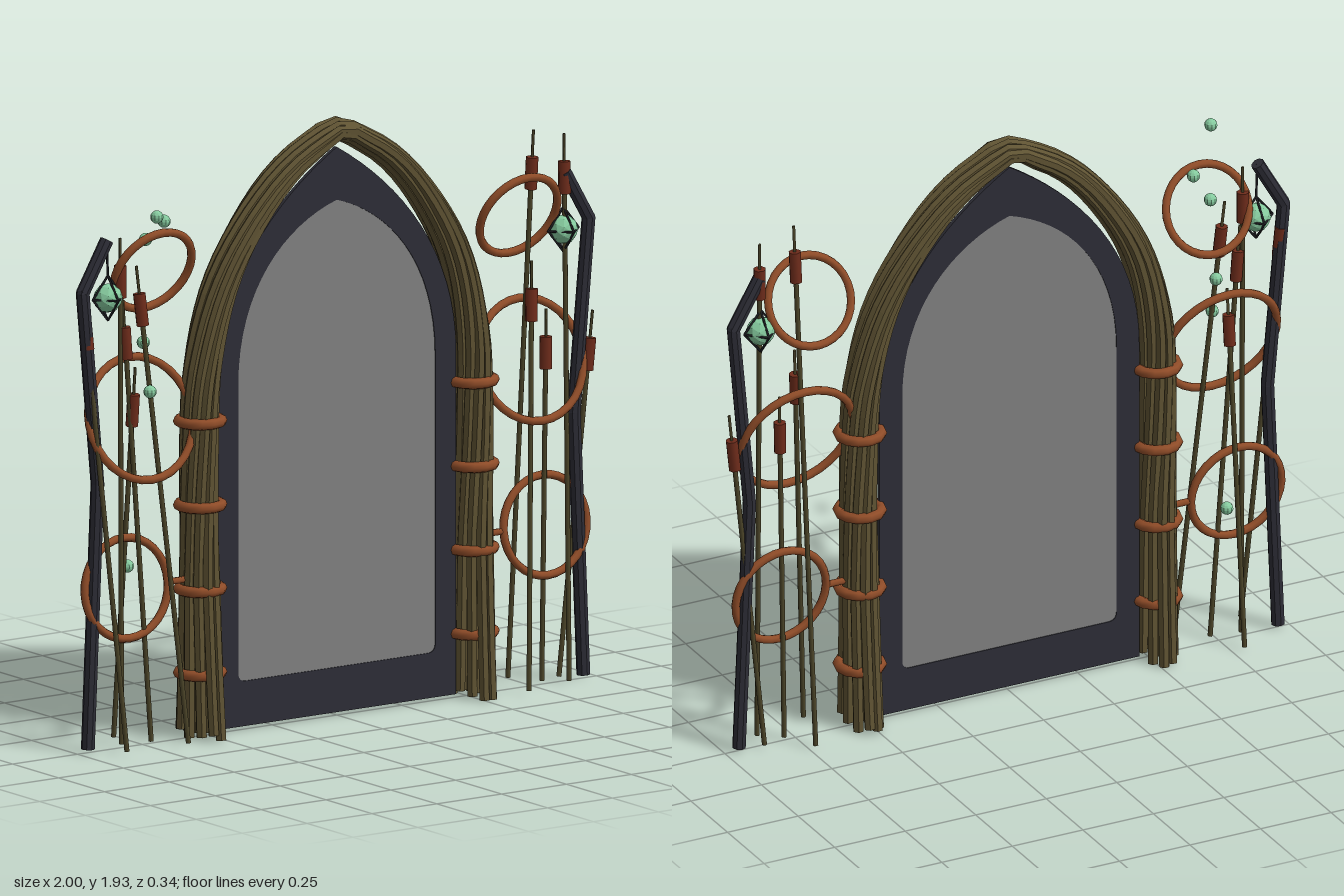
import * as THREE from 'three';

const mat = (name, color, extra = {}) => {
  const m = new THREE.MeshStandardMaterial({ color, ...extra });
  m.name = name;
  return m;
};
const V = (x, y, z = 0) => new THREE.Vector3(x, y, z);

export function createModel() {
  const vine = mat('vineBark', 0x5e5232, { flatShading: true });
  const iron = mat('darkIron', 0x2d2d36, { flatShading: true });
  const glass = mat('greyGlass', 0x808080);
  const copper = mat('copper', 0x8f4c28);
  const rust = mat('reedHead', 0x6e2c1b);
  const stemMat = mat('reedStem', 0x4c4529);
  const glow = mat('paleGreen', 0x86cb9f, { flatShading: true });
  const wire = mat('blackWire', 0x1b1c20);

  const root = new THREE.Group();
  root.name = 'archedGate';
  const body = new THREE.Group();
  body.name = 'gateBody';
  body.position.x = -0.005;
  root.add(body);

  const add = (name, geo, material, parent = body) => {
    const m = new THREE.Mesh(geo, material);
    m.name = name;
    parent.add(m);
    return m;
  };
  // Straight rod between two points
  const rod = (name, a, b, r, material, parent = body, sides = 6) => {
    const d = b.clone().sub(a);
    const m = add(name, new THREE.CylinderGeometry(r, r, d.length(), sides), material, parent);
    m.position.copy(a).add(b).multiplyScalar(0.5);
    m.quaternion.setFromUnitVectors(V(0, 1), d.normalize());
    return m;
  };

  // Pointed door frame and its pane
  const outer = new THREE.Shape();
  outer.moveTo(-0.46, 0.02);
  outer.lineTo(0.46, 0.02);
  outer.lineTo(0.46, 1.12);
  outer.bezierCurveTo(0.46, 1.45, 0.25, 1.69, 0, 1.84);
  outer.bezierCurveTo(-0.25, 1.69, -0.46, 1.45, -0.46, 1.12);
  const opening = (P) => {
    const p = new P();
    p.moveTo(-0.35, 0.165);
    p.lineTo(0.35, 0.165);
    p.quadraticCurveTo(0.38, 0.165, 0.38, 0.195);
    p.lineTo(0.38, 1.12);
    p.bezierCurveTo(0.38, 1.43, 0.2, 1.61, 0, 1.67);
    p.bezierCurveTo(-0.2, 1.61, -0.38, 1.43, -0.38, 1.12);
    p.lineTo(-0.38, 0.195);
    p.quadraticCurveTo(-0.38, 0.165, -0.35, 0.165);
    return p;
  };
  outer.holes.push(opening(THREE.Path));
  const slab = (shape, depth) =>
    new THREE.ExtrudeGeometry(shape, { depth, bevelEnabled: false, curveSegments: 16 }).translate(0, 0, -depth / 2);
  add('doorFrame', slab(outer, 0.014), iron);
  add('doorPane', slab(opening(THREE.Shape), 0.008), glass);

  // Twisted vines running over the whole arch
  const half = new THREE.CatmullRomCurve3([
    V(0, 1.9), V(0.15, 1.825), V(0.28, 1.71), V(0.44, 1.47), V(0.515, 1.2),
    V(0.53, 0.9), V(0.527, 0.5), V(0.522, 0.01),
  ]);
  const lerp = THREE.MathUtils.lerp;
  const strand = (a0, spread, foot) => {
    const pts = [];
    const n = 22;
    for (let i = -n; i <= n; i++) {
      const u = Math.abs(i) / n;
      const side = i < 0 ? -1 : 1;
      const p = half.getPointAt(u);
      const t = half.getTangentAt(u);
      const a = a0 + 2.4 * side * Math.min(u, 0.65 + 0.15 * u);
      const ra = spread * lerp(0.02, 0.043, Math.min(1, u * 2.2));
      const rb = spread * (0.052 + 0.045 * Math.max(0, (u - 0.65) / 0.35) ** 1.3);
      const x = p.x - t.y * Math.cos(a) * ra;
      const y = p.y + t.x * Math.cos(a) * ra;
      pts.push(V(side * x, y + (u === 1 ? foot : 0), Math.sin(a) * rb + 0.004));
    }
    return new THREE.TubeGeometry(new THREE.CatmullRomCurve3(pts), 72, 0.018, 6);
  };
  const vines = new THREE.Group();
  vines.name = 'vineArch';
  body.add(vines);
  for (let i = 0; i < 10; i++) add('vine', strand((i / 10) * Math.PI * 2, 1, (i % 3) * 0.009), vine, vines);
  for (let i = 0; i < 3; i++) add('innerVine', strand((i / 3) * Math.PI * 2, 0.4, 0.015), vine, vines);

  // Mirrored posts, lanterns, rings and bands
  for (const s of [-1, 1]) {
    const g = new THREE.Group();
    g.name = s < 0 ? 'rightSide' : 'leftSide';
    body.add(g);

    for (const y of [0.215, 0.485, 0.755, 1.025]) {
      const band = add('band', new THREE.TorusGeometry(0.068, 0.018, 8, 12), copper, g);
      band.rotation.x = Math.PI / 2;
      band.position.set(s * 0.525, y, 0.004);
    }

    // x, y, radius, tilt
    for (const [x, y, r, tilt] of [
      [0.705, 1.53, 0.144, 0.42], [0.752, 1.06, 0.197, -0.32], [0.807, 0.52, 0.16, -0.1],
    ]) {
      const ring = add('ring', new THREE.TorusGeometry(r, 0.0135, 8, 32), copper, g);
      ring.position.set(s * x, y, 0);
      ring.rotation.x = tilt;
    }
    rod('ringTie', V(s * 0.57, 0.52), V(s * 0.65, 0.52), 0.011, copper, g);

    const post = [V(s * 0.955, 0.02), V(s * 0.918, 0.87), V(s * 0.975, 1.49), V(s * 0.882, 1.65)];
    for (let i = 0; i < 3; i++) {
      rod('post', post[i], post[i + 1], 0.022, iron, g, 8);
      if (i) add('postJoint', new THREE.SphereGeometry(0.022, 8, 6), iron, g).position.copy(post[i]);
    }

    const lantern = new THREE.Group();
    lantern.name = 'lantern';
    lantern.position.set(s * 0.878, 1.463, 0);
    g.add(lantern);
    add('lanternGem', new THREE.IcosahedronGeometry(0.047, 1), glow, lantern);
    const corners = [0, 1, 2, 3].map((k) => V(Math.cos(k * Math.PI / 2) * 0.058, 0, Math.sin(k * Math.PI / 2) * 0.058));
    corners.forEach((c, k) => {
      rod('cageBar', c, V(0, 0.072), 0.004, wire, lantern, 5);
      rod('cageBar', c, V(0, -0.072), 0.004, wire, lantern, 5);
      rod('cageBar', c, corners[(k + 1) % 4], 0.004, wire, lantern, 5);
    });
    rod('lanternHook', V(0, 0.07), V(s * 0.004, 0.185), 0.004, wire, lantern, 5);
  }

  // Reeds: foot x, foot z, head x, head y
  for (const [fx, fz, hx, hy] of [
    [-0.875, 0.1, -0.96, 1.36], [-0.825, 0, -0.83, 1.51], [-0.785, -0.1, -0.782, 1.09],
    [-0.725, 0.02, -0.81, 1.31], [-0.645, 0.11, -0.75, 1.41],
    [0.675, 0.1, 0.755, 1.235], [0.735, -0.1, 0.755, 1.66], [0.795, 0, 0.81, 1.075],
    [0.865, 0.05, 0.882, 1.63], [0.875, -0.02, 0.975, 1.05],
  ]) {
    const reed = new THREE.Group();
    reed.name = 'reed';
    body.add(reed);
    const foot = V(fx, 0.02, fz);
    const head = V(hx, hy, 0);
    const dir = head.clone().sub(foot).normalize();
    const along = (d) => head.clone().addScaledVector(dir, d);
    rod('reedStem', foot, head, 0.008, stemMat, reed, 6);
    rod('reedHead', along(-0.052), along(0.052), 0.02, rust, reed, 8);
    rod('reedTip', along(0.05), along(0.14), 0.005, stemMat, reed, 5);
  }

  // Floating lights beside one post
  for (const [x, y, z] of [
    [-0.795, 1.74, 0.15], [-0.64, 1.675, -0.03], [-0.67, 1.61, -0.088],
    [-0.72, 1.295, -0.03], [-0.74, 1.15, 0.035], [-0.695, 0.55, -0.152],
  ]) add('floatingLight', new THREE.SphereGeometry(0.021, 10, 8), glow).position.set(x, y, z);

  return root;
}
